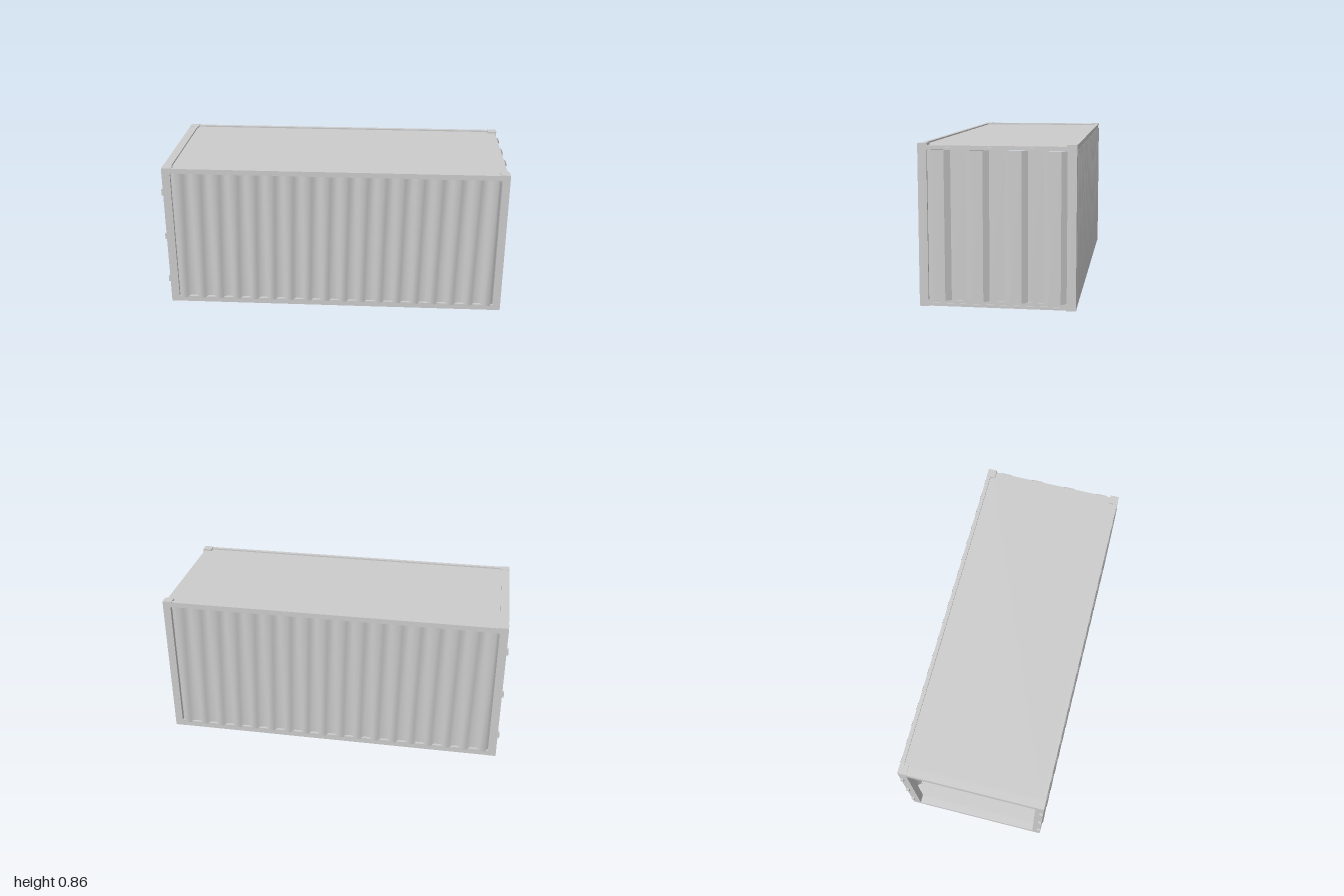
import * as THREE from 'three';

const steel = new THREE.MeshStandardMaterial({ color: 0xcccccc, side: THREE.DoubleSide });
steel.name = 'grey steel';

// Box given by its minimum and maximum corners
function box(parent, name, [x0, y0, z0], [x1, y1, z1]) {
  const mesh = new THREE.Mesh(new THREE.BoxGeometry(x1 - x0, y1 - y0, z1 - z0), steel);
  mesh.position.set((x0 + x1) / 2, (y0 + y1) / 2, (z0 + z1) / 2);
  mesh.name = name;
  parent.add(mesh);
  return mesh;
}

// Trapezoid-folded sheet: runs along x, folds along z (valley at 0, crest at depth)
function corrugatedSheet(length, ribs, crest, slope, depth, y0, y1) {
  const pitch = (length - crest - 2 * slope) / (ribs - 1);
  const profile = [];
  for (let i = 0; i < ribs; i++) {
    const s = -length / 2 + i * pitch;
    profile.push([s, 0], [s + slope, depth], [s + slope + crest, depth], [s + 2 * slope + crest, 0]);
  }
  const positions = [], index = [];
  profile.forEach(([s, d], i) => {
    positions.push(s, y0, d, s, y1, d);
    if (i) {
      const a = 2 * i - 2;
      index.push(a, a + 2, a + 3, a, a + 3, a + 1);
    }
  });
  const geometry = new THREE.BufferGeometry();
  geometry.setAttribute('position', new THREE.Float32BufferAttribute(positions, 3));
  geometry.setIndex(index);
  geometry.computeVertexNormals();
  return geometry;
}

export function createModel() {
  const model = new THREE.Group();
  model.name = 'shippingContainer';

  // Long walls
  const sideSheet = corrugatedSheet(1.885, 18, 0.034, 0.018, 0.022, 0.03, 0.832);
  for (const s of [1, -1]) {
    const wall = new THREE.Mesh(sideSheet, steel);
    wall.position.z = s * 0.396;
    if (s < 0) wall.rotation.y = Math.PI;
    wall.name = s > 0 ? 'frontWall' : 'backWall';
    model.add(wall);
  }

  // Closed end wall, with crisp folds
  const endSheet = corrugatedSheet(0.73, 4, 0.062, 0.03, 0.022, 0.034, 0.828).toNonIndexed();
  endSheet.computeVertexNormals();
  const endWall = new THREE.Mesh(endSheet, steel);
  endWall.rotation.y = Math.PI / 2;
  endWall.position.x = 0.977;
  endWall.name = 'endWall';
  model.add(endWall);

  // Roof and floor, recessed in the frame
  box(model, 'roof', [-0.945, 0.838, -0.392], [0.982, 0.85, 0.392]);
  box(model, 'floor', [-0.945, 0.012, -0.394], [0.978, 0.034, 0.394]);

  for (const s of [1, -1]) {
    const side = new THREE.Group();
    side.name = s > 0 ? 'frontFrame' : 'backFrame';
    model.add(side);
    // Rails and corner posts
    const zs = (a, b) => (s > 0 ? [a, b] : [-b, -a]);
    const part = (name, x0, x1, y0, y1, a, b) => {
      const [z0, z1] = zs(a, b);
      box(side, name, [x0, y0, z0], [x1, y1, z1]);
    };
    part('topRail', -0.95, 0.95, 0.828, 0.858, 0.39, 0.412);
    part('bottomRail', -0.95, 0.95, 0, 0.035, 0.39, 0.412);
    part('doorPost', -0.99, -0.942, 0, 0.86, 0.365, 0.413);
    part('endPost', 0.945, 0.99, 0.03, 0.83, 0.365, 0.413);
    // Corner castings
    for (const [y0, y1] of [[0, 0.035], [0.825, 0.861]]) {
      part('cornerCasting', 0.937, 0.99, y0, y1, 0.362, 0.413);
      part('cornerCasting', -0.99, -0.935, y0, y1, 0.362, 0.413);
    }
    // Hinge lugs on the open end
    for (const y of [0.15, 0.43, 0.71]) {
      part('hinge', -1, -0.988, y - 0.018, y + 0.018, 0.392, 0.41);
    }
  }

  // Cross members of the open end
  box(model, 'doorHeader', [-0.99, 0.812, -0.37], [-0.942, 0.859, 0.37]);
  box(model, 'doorSill', [-0.99, 0, -0.37], [-0.942, 0.038, 0.37]);

  // Stepped cross members of the closed end
  box(model, 'endTopRail', [0.955, 0.828, -0.363], [0.985, 0.841, 0.363]);
  box(model, 'endBottomRail', [0.955, 0.018, -0.363], [0.982, 0.035, 0.363]);
  box(model, 'endBottomLip', [0.955, 0.002, -0.363], [0.987, 0.018, 0.363]);

  return model;
}
